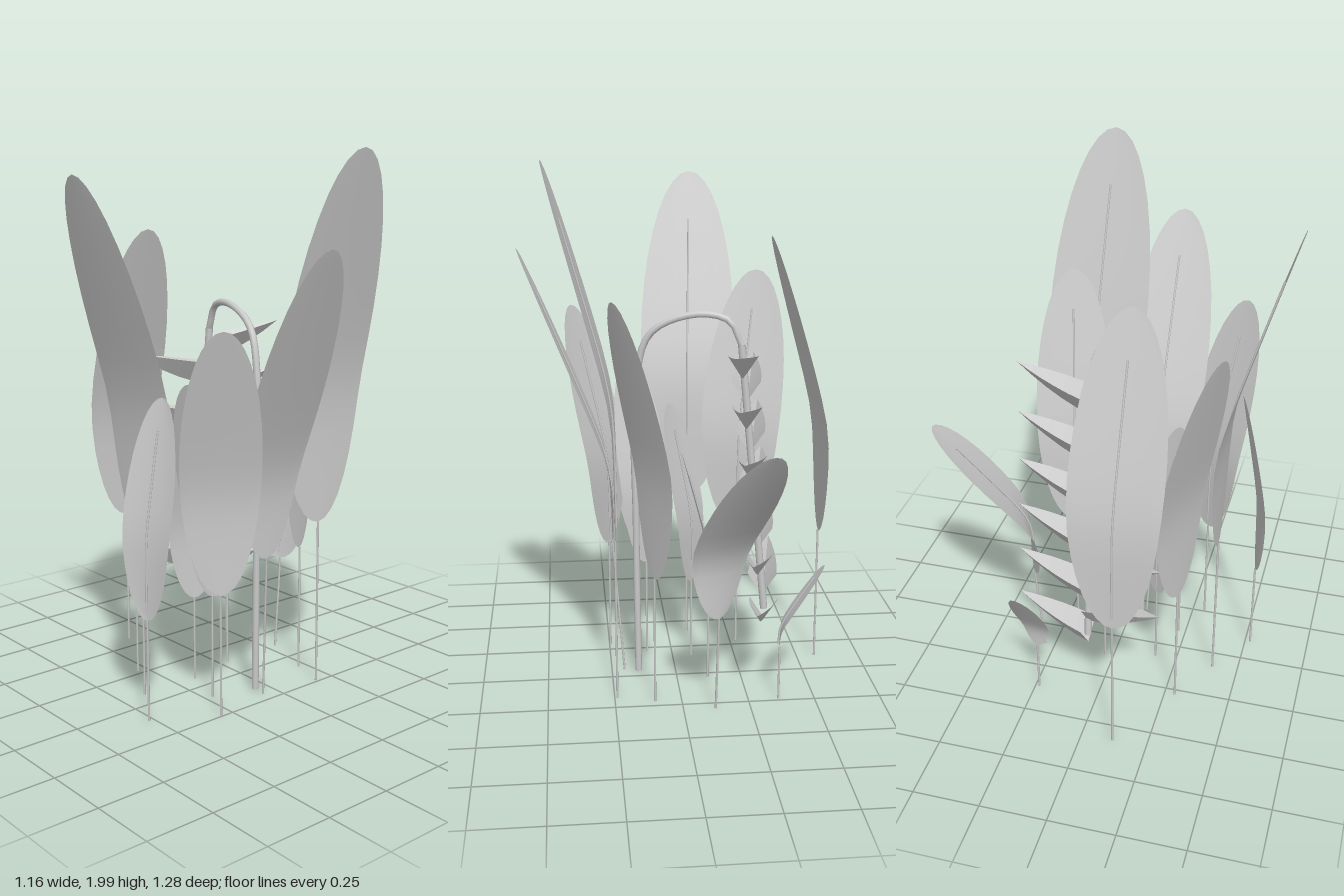
import * as THREE from 'three';

const mat = new THREE.MeshStandardMaterial({ color: 0xcccccc, side: THREE.DoubleSide });
const flatMat = new THREE.MeshStandardMaterial({ color: 0xcccccc, side: THREE.DoubleSide, flatShading: true });
const V = (x, y, z) => new THREE.Vector3(x, y, z);
const UP = V(0, 1, 0);

function mesh(name, geometry, material = mat) {
  const m = new THREE.Mesh(geometry, material);
  m.name = name;
  return m;
}

const tube = (points, radius, segments = 16, sides = 6) =>
  new THREE.TubeGeometry(new THREE.CatmullRomCurve3(points), segments, radius, sides);

// Grid of points(u, v) turned into a smooth indexed surface
function surface(point, nu, nv) {
  const pos = [], index = [];
  for (let i = 0; i <= nu; i++)
    for (let j = 0; j <= nv; j++) {
      pos.push(...point(i / nu, j / nv).toArray());
      if (i < nu && j < nv) {
        const a = i * (nv + 1) + j, b = a + nv + 1;
        index.push(a, a + 1, b, b, a + 1, b + 1);
      }
    }
  const g = new THREE.BufferGeometry();
  g.setAttribute('position', new THREE.Float32BufferAttribute(pos, 3));
  g.setIndex(index);
  g.computeVertexNormals();
  return g;
}

// Oval blade on a thin stalk: upright below the hinge, leaning straight out to the tip above it
function leaf({ base, tip, half, hinge = 0.38, cup = 0.03, twist = 0, root = base, across }) {
  const b = V(...base), t = V(...tip);
  const lean = V(t.x - b.x, 0, t.z - b.z);
  const out = across ? V(across[1], 0, -across[0]).normalize() : lean.clone().normalize();
  const side = V(-out.z, 0, out.x);
  const soft = k => k - hinge + Math.hypot(k - hinge, 0.09);
  const bend = k => (soft(k) - soft(0)) / (soft(1) - soft(0));
  const rib = k => b.clone().addScaledVector(lean, bend(k)).setY(b.y + (t.y - b.y) * k);
  const blade = (u, v) => {
    const k = (1 - Math.cos(Math.PI * u)) / 2;
    const s = v * 2 - 1, w = half * Math.sin(Math.PI * u);
    const offset = V(0, 0, 0).addScaledVector(side, s * w).addScaledVector(out, -cup * w * s * s);
    return rib(k).add(offset.applyAxisAngle(UP, twist * (0.5 - k)));
  };
  const ribPoints = [];
  for (let i = 0; i <= 8; i++) ribPoints.push(rib(0.04 + i * 0.102).addScaledVector(out, -0.005));
  const g = new THREE.Group();
  g.name = 'leaf';
  g.add(
    mesh('blade', surface(blade, 18, 8)),
    mesh('midrib', tube(ribPoints, 0.004, 16, 5)),
    mesh('stalk', tube([V(root[0], 0.01, root[2]), b.clone().lerp(V(root[0], 0, root[2]), 0.4), b], 0.0045, 8, 5)),
  );
  return g;
}

// Boat-shaped bract: V section that narrows to a raised tip along +z
function bractGeometry() {
  const length = 0.3;
  return surface((u, v) => {
    const s = v * 2 - 1, taper = 1 - u ** 1.8;
    return V(s * 0.055 * taper, 0.045 + 0.05 * u - 0.085 * taper * (1 - Math.abs(s)), u * length);
  }, 5, 2);
}

export function createModel() {
  const model = new THREE.Group();
  model.name = 'plant';

  const leaves = [
    { base: [-0.08, 0.62, 0.40], tip: [-0.11, 1.91, 0.64], half: 0.187, across: [-1, 0] },
    { base: [0.24, 0.55, 0.08], tip: [0.575, 1.675, 0.10], half: 0.163, hinge: 0.27,
      root: [0.2, 0, 0.06], across: [0, 1] },
    { base: [0.24, 0.64, -0.175], tip: [0.477, 2.0, -0.145], half: 0.195, across: [-0.07, 1] },
    { base: [0.10, 0.50, -0.215], tip: [0.245, 1.53, -0.25], half: 0.145, across: [0.41, 0.91] },
    { base: [0.11, 0.385, 0.52], tip: [0.10, 1.165, 0.435], half: 0.1, cup: 0.12, across: [0.94, -0.33] },
    { base: [-0.275, 0.50, 0.29], tip: [-0.36, 1.54, 0.43], half: 0.16, across: [-0.93, -0.36] },
    { base: [-0.573, 0.55, 0.12], tip: [-0.37, 1.705, 0.14], half: 0.167, across: [0, 1] },
    { base: [-0.12, 0.30, -0.035], tip: [-0.015, 0.93, -0.03], half: 0.088, across: [0, 1] },
    { base: [-0.075, 0.335, 0.165], tip: [0.01, 1.05, 0.23], half: 0.1 },
    { base: [0.10, 0.40, 0.22], tip: [0.16, 1.21, 0.365], half: 0.112, across: [-0.87, 0.48] },
    { base: [0.245, 0.46, 0.30], tip: [0.38, 1.415, 0.395], half: 0.143, across: [-0.56, 0.83] },
    { base: [-0.365, 0.22, -0.235], tip: [-0.52, 0.55, -0.26], half: 0.062, hinge: 0.25 },
    { base: [-0.125, 0.38, -0.32], tip: [-0.265, 1.08, -0.64], half: 0.125, hinge: 0.35, cup: 0.08,
      twist: 0.5, root: [-0.12, 0, -0.29], across: [0.94, -0.33] },
  ];
  for (const spec of leaves) model.add(leaf(spec));

  // Thick flower stem arching over to the hanging spike
  const flower = new THREE.Group();
  flower.name = 'hangingFlower';
  const top = V(-0.235, 1.33, -0.045), bottom = V(-0.335, 0.295, -0.04);
  flower.add(mesh('flowerStem', tube([
    V(0.145, 0.01, 0.05), V(0.15, 0.6, 0.05), V(0.145, 1.2, 0.045), V(0.09, 1.37, 0.03),
    V(-0.07, 1.44, -0.005), V(-0.19, 1.42, -0.035), top,
  ], 0.013, 48, 8)));
  flower.add(mesh('spikeAxis', tube([top, top.clone().lerp(bottom, 0.5), bottom], 0.014, 8, 8)));

  // Bracts alternate on the two sides of the spike
  const bract = bractGeometry();
  const count = 11;
  for (let i = 0; i < count; i++) {
    const m = mesh('bract', bract, flatMat);
    m.position.lerpVectors(top, bottom, 0.08 + 0.92 * i / (count - 1));
    m.rotation.y = -0.24 + (i % 2 ? 0 : Math.PI);
    flower.add(m);
  }
  model.add(flower);
  return model;
}
